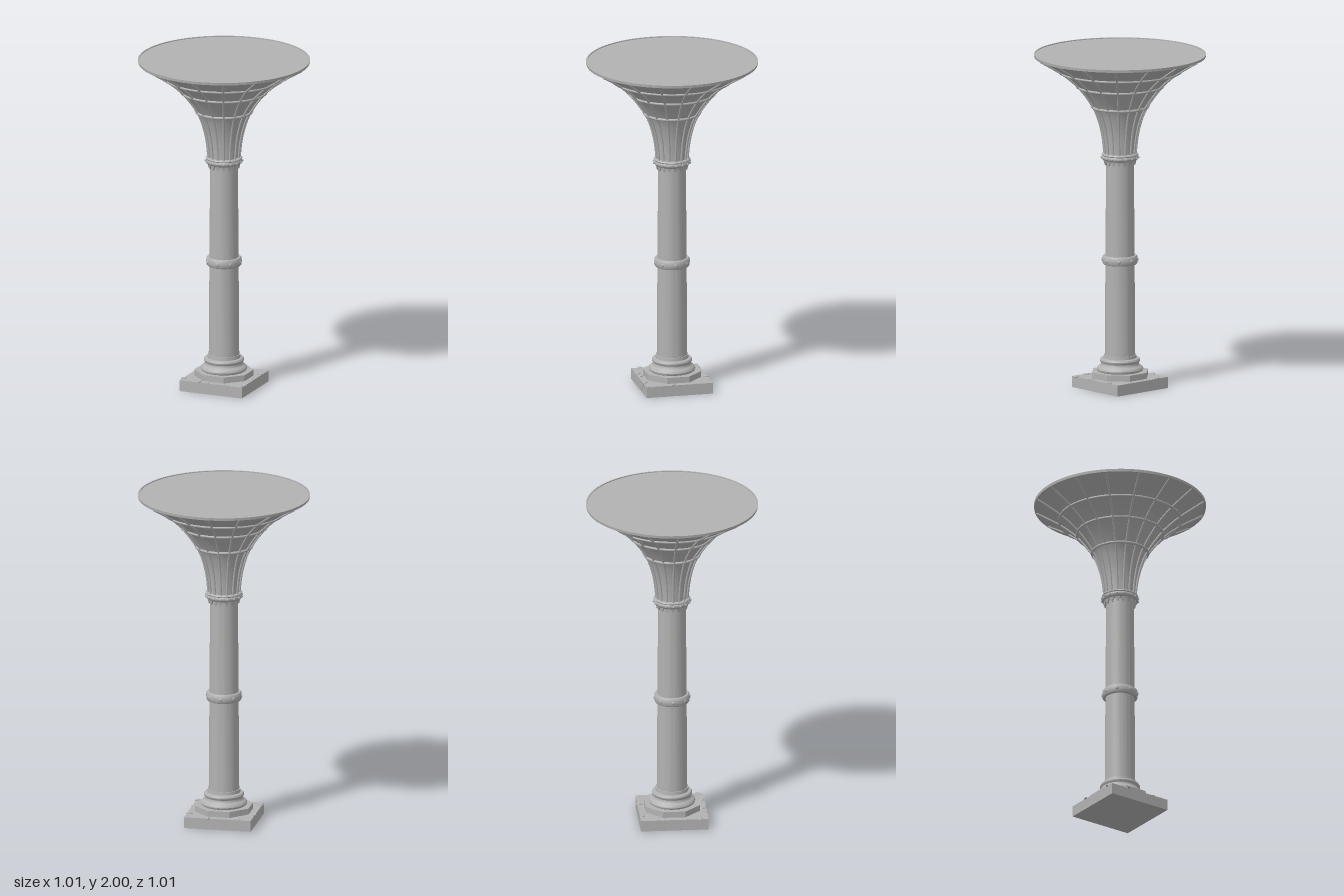
import * as THREE from 'three';
import { toCreasedNormals } from 'three/addons/utils/BufferGeometryUtils.js';

export function createModel() {
  const model = new THREE.Group();
  const stone = new THREE.MeshStandardMaterial({ color: 0xb2b2b2 });

  const add = (name, geometry, parent = model) => {
    const mesh = new THREE.Mesh(geometry, stone);
    mesh.name = name;
    parent.add(mesh);
    return mesh;
  };
  const group = (name) => {
    const g = new THREE.Group();
    g.name = name;
    model.add(g);
    return g;
  };
  const lathe = (name, pts) => add(name, toCreasedNormals(
    new THREE.LatheGeometry(pts.map(([r, y]) => new THREE.Vector2(r, y)), 64), 0.6));

  // Square plinth and octagonal step
  add('plinth', new THREE.BoxGeometry(0.4, 0.066, 0.4)).position.y = 0.033;
  const step = add('octagonalStep', new THREE.CylinderGeometry(0.174, 0.174, 0.036, 8).toNonIndexed());
  step.geometry.computeVertexNormals();
  step.position.y = 0.084;
  step.rotation.y = Math.PI / 8;

  // Flat broken chips around the plinth rim
  const chips = group('chips');
  [[-0.19, 0.15], [-0.08, 0.19], [0.1, 0.185], [0.195, 0.17], [0.19, 0.04], [0.185, -0.11],
    [0.06, -0.19], [-0.12, -0.185], [-0.195, -0.07], [-0.03, 0.18]].forEach(([x, z], i) => {
    const chip = add('chip', new THREE.DodecahedronGeometry(0.018, 0), chips);
    chip.position.set(x, 0.067, z);
    chip.scale.set(1.2, 0.35, 0.8);
    chip.rotation.y = i * 1.3;
  });

  // Thin zigzag crack on the front of the plinth
  const crackLine = [[0.06, 0.008], [0.085, 0.022], [0.09, 0.038], [0.108, 0.046], [0.118, 0.064]];
  const crack = new THREE.Shape([
    ...crackLine.map(([x, y]) => new THREE.Vector2(x, y)),
    ...crackLine.slice().reverse().map(([x, y]) => new THREE.Vector2(x - 0.003, y + 0.002)),
  ]);
  add('crack', new THREE.ExtrudeGeometry(crack, { depth: 0.002, bevelEnabled: false })).position.z = 0.2;

  // Moulded foot
  lathe('baseMoulding', [[0.125, 0.1], [0.134, 0.106], [0.137, 0.115], [0.134, 0.125], [0.126, 0.132],
    [0.118, 0.136], [0.112, 0.146], [0.112, 0.154], [0.117, 0.16], [0.118, 0.169], [0.113, 0.178],
    [0.097, 0.181], [0.095, 0.2], [0.085, 0.2]]);

  // Shaft in two lengths
  lathe('lowerShaft', [[0.09, 0.175], [0.088, 0.46], [0.086, 0.76]]);
  lathe('upperShaft', [[0.086, 0.76], [0.084, 1.06], [0.082, 1.4]]);

  // Studded band
  lathe('band', [[0.084, 0.743], [0.098, 0.743], [0.103, 0.75], [0.105, 0.769], [0.103, 0.788],
    [0.098, 0.795], [0.084, 0.795]]);
  const studs = group('studs');
  for (let i = 0; i < 8; i++) {
    const a = i * Math.PI / 4;
    const stud = add('stud', new THREE.SphereGeometry(0.011, 12, 8), studs);
    stud.position.set(Math.sin(a) * 0.103, 0.769, Math.cos(a) * 0.103);
    stud.rotation.y = a;
    stud.scale.z = 0.6;
  }

  // Collar with a fringe of hanging pointed leaves
  lathe('collar', [[0.08, 1.362], [0.098, 1.366], [0.104, 1.372], [0.108, 1.378], [0.108, 1.388],
    [0.104, 1.394], [0.108, 1.4], [0.104, 1.406], [0.09, 1.408]]);
  const leafShape = new THREE.Shape([[-0.018, 0.03], [-0.015, 0.012], [0, -0.012], [0.015, 0.012], [0.018, 0.03]]
    .map(([x, y]) => new THREE.Vector2(x, y)));
  const leafGeo = new THREE.ExtrudeGeometry(leafShape, { depth: 0.009, bevelEnabled: false });
  const leaves = group('leaves');
  const beads = group('collarBeads');
  for (let i = 0; i < 16; i++) {
    const a = i * Math.PI / 8;
    const leaf = add('leaf', leafGeo, leaves);
    leaf.position.set(Math.sin(a) * 0.084, 1.35, Math.cos(a) * 0.084);
    leaf.rotation.set(0.2, a, 0, 'YXZ');
    const bead = add('bead', new THREE.SphereGeometry(0.007, 8, 6), beads);
    bead.position.set(Math.sin(a) * 0.108, 1.382, Math.cos(a) * 0.108);
  }

  // Flaring capital
  const flareCurve = new THREE.SplineCurve([[0.088, 1.39], [0.099, 1.5], [0.122, 1.6], [0.161, 1.69],
    [0.25, 1.81], [0.355, 1.9], [0.495, 1.986]].map(([r, y]) => new THREE.Vector2(r, y)));
  const profile = flareCurve.getPoints(36);
  add('flare', new THREE.LatheGeometry(profile, 64));
  lathe('rim', [[0.485, 1.984], [0.505, 1.984], [0.507, 2], [0.499, 2], [0.499, 1.994]]);
  const top = add('topDisc', new THREE.CircleGeometry(0.5, 64));
  top.rotation.x = -Math.PI / 2;
  top.position.y = 1.995;

  // Upright ribs following the flare
  const ribPath = new THREE.CatmullRomCurve3(profile.filter((p, i) => i % 3 === 0)
    .map((p) => new THREE.Vector3(p.x + 0.004, p.y - 0.002, 0)));
  const ribGeo = new THREE.TubeGeometry(ribPath, 28, 0.0065, 6);
  const ribs = group('ribs');
  for (let i = 0; i < 16; i++) add('rib', ribGeo, ribs).rotation.y = i * Math.PI / 8;

  // Hoops around the flare
  const hoops = group('hoops');
  [[0.165, 1.685], [0.253, 1.808], [0.358, 1.898]].forEach(([r, y]) => {
    const hoop = add('hoop', new THREE.TorusGeometry(r, 0.008, 8, 64), hoops);
    hoop.rotation.x = Math.PI / 2;
    hoop.position.y = y;
  });

  return model;
}
